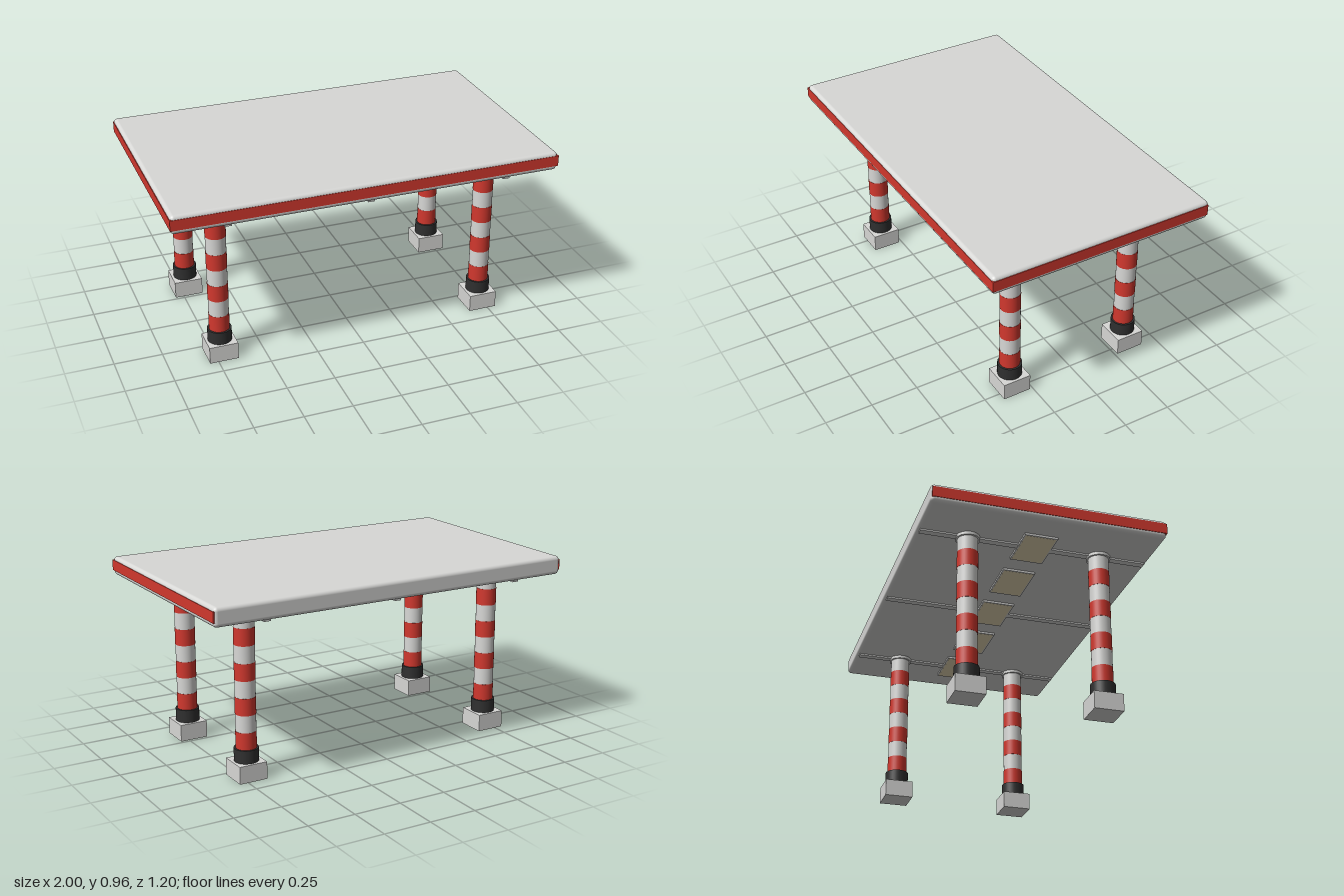
import * as THREE from 'three';
import { RoundedBoxGeometry } from 'three/addons/geometries/RoundedBoxGeometry.js';

const material = (name, color) => {
  const m = new THREE.MeshStandardMaterial({ color });
  m.name = name;
  return m;
};

export function createModel() {
  const white = material('white paint', 0xd8d8d6);
  const red = material('red paint', 0xd2382e);
  const black = material('black rubber', 0x303030);
  const lamp = material('warm lamp', 0xfff0c8);

  const model = new THREE.Group();
  model.name = 'canopy';

  const add = (parent, name, geometry, mat, x, y, z) => {
    const mesh = new THREE.Mesh(geometry, mat);
    mesh.name = name;
    mesh.position.set(x, y, z);
    parent.add(mesh);
    return mesh;
  };
  const box = (parent, name, mat, w, h, d, x, y, z) =>
    add(parent, name, new THREE.BoxGeometry(w, h, d), mat, x, y, z);
  // Upright cylinder between two heights
  const tube = (parent, name, mat, r, y0, y1) =>
    add(parent, name, new THREE.CylinderGeometry(r, r, y1 - y0, 32), mat, 0, (y0 + y1) / 2, 0);

  // Roof slab with soft edges
  add(model, 'roofSlab', new RoundedBoxGeometry(1.994, 0.097, 1.194, 4, 0.02), white, 0, 0.9125, 0);

  // Red fascia on the front and both ends; the back stays plain
  box(model, 'frontFascia', red, 2, 0.055, 0.009, 0, 0.915, 0.5945);
  for (const s of [-1, 1])
    box(model, 'endFascia', red, 0.009, 0.055, 1.189, s * 0.9955, 0.915, 0.0045);

  // Shallow ribs across the underside
  for (const x of [-0.72, 0, 0.72])
    box(model, 'ceilingRib', white, 0.035, 0.01, 1.165, x, 0.8605, 0);

  // Row of framed ceiling lamps
  for (let i = -2; i <= 2; i++) {
    box(model, 'lampFrame', white, 0.25, 0.012, 0.17, i * 0.36, 0.859, 0);
    box(model, 'lampPanel', lamp, 0.236, 0.008, 0.156, i * 0.36, 0.8565, 0);
  }

  // Striped columns on footings
  for (const x of [-0.72, 0.72]) {
    for (const z of [-0.34, 0.34]) {
      const column = new THREE.Group();
      column.name = 'column';
      column.position.set(x, 0, z);
      model.add(column);
      box(column, 'footing', white, 0.15, 0.09, 0.15, 0, 0.045, 0);
      tube(column, 'rubberSleeve', black, 0.062, 0.09, 0.158);
      for (let i = 0; i < 8; i++) {
        const y = 0.158 + i * 0.088;
        const isRed = i % 2 === 0;
        tube(column, isRed ? 'redBand' : 'whiteBand', isRed ? red : white,
          isRed ? 0.0525 : 0.0515, y, y + 0.088);
      }
      tube(column, 'topCollar', white, 0.061, 0.848, 0.866);
    }
  }
  return model;
}
